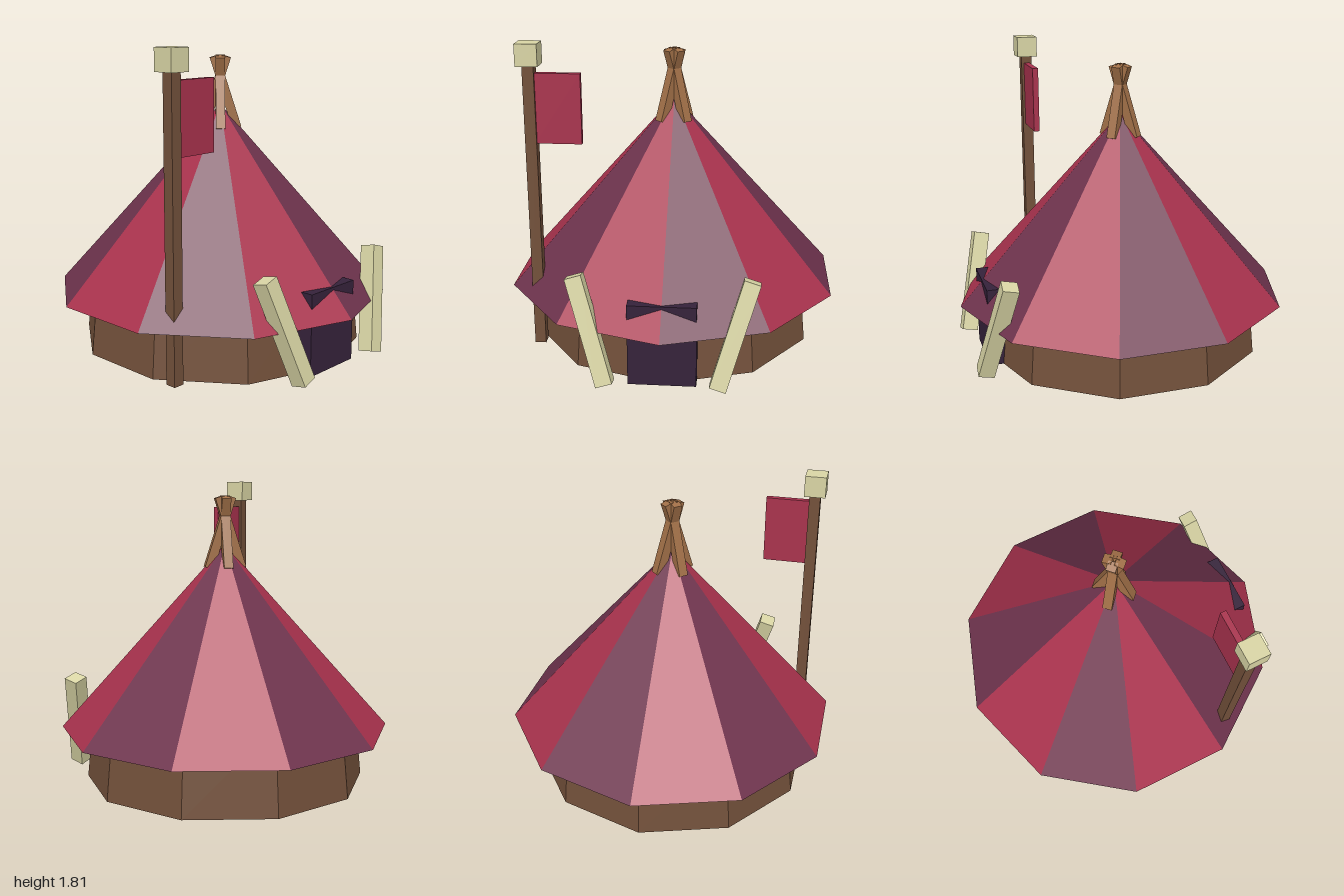
import * as THREE from 'three';

const mat = (name, color, side = THREE.FrontSide) => {
  const m = new THREE.MeshStandardMaterial({ color, flatShading: true, side });
  m.name = name;
  return m;
};

export function createModel() {
  const red = mat('red cloth', 0xa8324d, THREE.DoubleSide);
  const purple = mat('purple cloth', 0x6e334d, THREE.DoubleSide);
  const wood = mat('brown wood', 0x72503a, THREE.DoubleSide);
  const paleWood = mat('light wood', 0xa06f47);
  const bone = mat('bone', 0xd8d4a4);
  const dark = mat('dark doorway', 0x35223a);

  const model = new THREE.Group();
  model.name = 'tent';
  const add = (name, geometry, material, x, y, z, parent = model) => {
    const mesh = new THREE.Mesh(geometry, material);
    mesh.name = name;
    mesh.position.set(x, y, z);
    parent.add(mesh);
    return mesh;
  };
  const box = (w, h, d) => new THREE.BoxGeometry(w, h, d);

  // Striped ten-sided roof, open underneath
  const sides = 10, step = Math.PI * 2 / sides;
  const roof = new THREE.Group();
  roof.name = 'roof';
  model.add(roof);
  for (let i = 0; i < sides; i++) {
    const panel = new THREE.ConeGeometry(1, 1.115, 1, 1, true, i * step, step);
    add('roofPanel', panel, i % 2 ? red : purple, 0, 0.315 + 1.115 / 2, 0, roof);
  }

  // Tapered wall ring and doorway block poking through the eave
  add('wall', new THREE.CylinderGeometry(0.8, 0.85, 0.5, sides, 1, true), wood, 0, 0.25, 0);
  add('doorway', box(0.38, 0.475, 0.1), dark, 0, 0.2375, 0.82);

  // Leaning tusks on both sides of the door
  for (const s of [1, -1]) {
    const tusk = add(s > 0 ? 'leftTusk' : 'rightTusk', box(0.094, 0.62, 0.094), bone, s * 0.3975, 0.314, 0.852);
    tusk.rotation.set(-0.218, 0, -s * 0.29);
  }

  // Crossed poles at the peak
  const peak = new THREE.Group();
  peak.name = 'peakPoles';
  peak.position.y = 1.6;
  model.add(peak);
  for (let i = 0; i < 4; i++) {
    const arm = new THREE.Group();
    arm.name = 'peakPoleArm';
    arm.rotation.y = Math.PI / 4 + i * Math.PI / 2;
    const tilt = new THREE.Group();
    tilt.name = 'peakPoleTilt';
    tilt.rotation.z = 0.31;
    arm.add(tilt);
    peak.add(arm);
    add('peakPole', box(0.055, 0.445, 0.055), paleWood, 0, -0.1035, 0, tilt);
  }

  // Flagpole with block finial and banner
  add('flagpole', box(0.065, 1.7, 0.065), wood, -0.772, 0.85, 0.4);
  add('finial', box(0.125, 0.125, 0.125), bone, -0.772, 1.745, 0.4);
  add('flag', box(0.265, 0.4, 0.035), red, -0.6175, 1.44, 0.4);

  return model;
}
